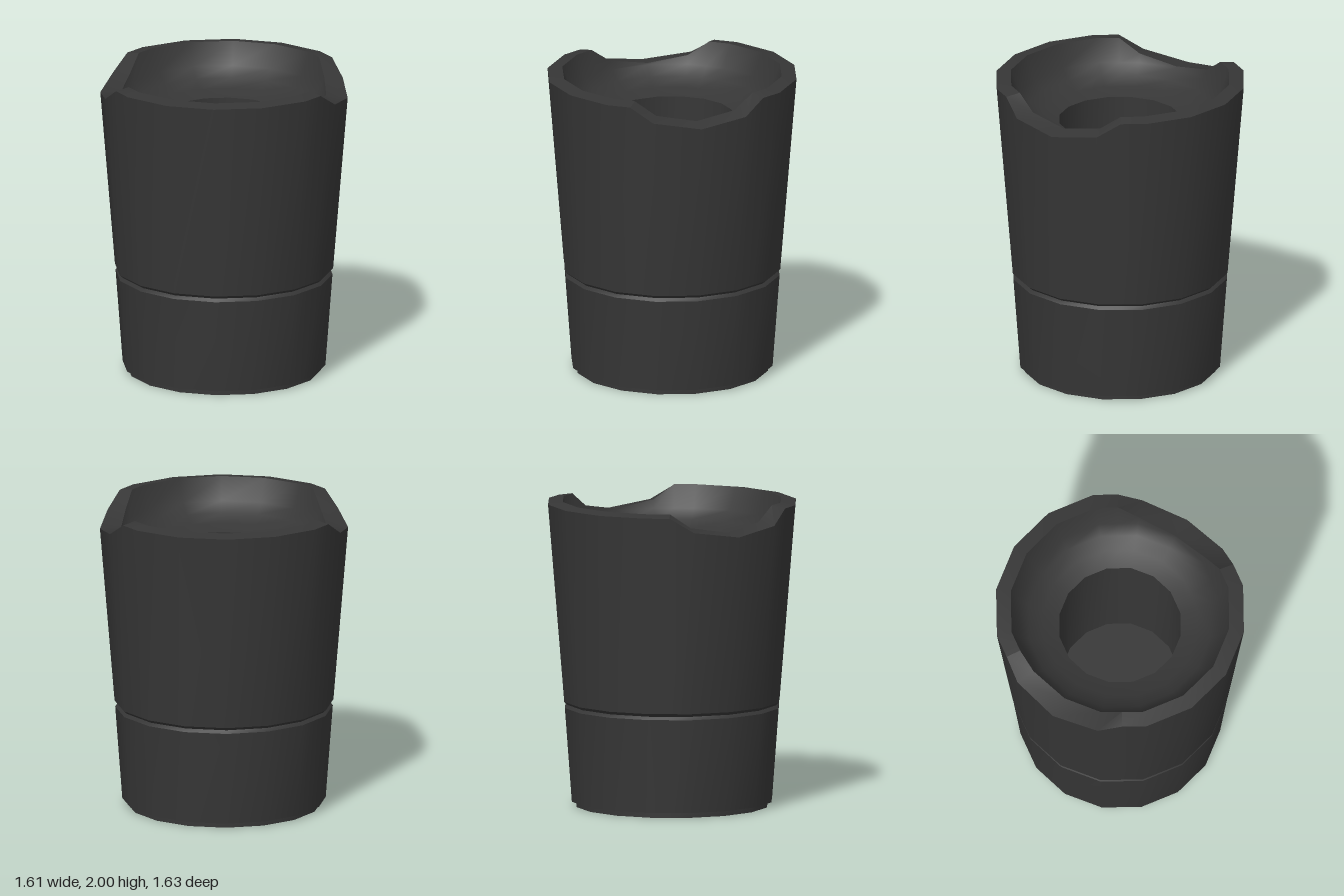
import * as THREE from 'three';
import { toCreasedNormals } from 'three/addons/utils/BufferGeometryUtils.js';

// Columns round the cup: 16 corners, plus the mid-edge points where the notches start
const columns = [];
for (let i = 0; i < 16; i++) {
  columns.push({ deg: i * 22.5, chord: 1 });
  if ([1, 6, 9, 14].includes(i)) columns.push({ deg: i * 22.5 + 11.25, chord: Math.cos(Math.PI / 16) });
}

// How far the rim dips at a column (one notch at each side, +x and -x)
function dip(deg) {
  const fromSide = Math.min(deg % 180, 180 - (deg % 180));
  return fromSide < 1 ? 0.14 : fromSide < 23 ? 0.095 : 0;
}

// Skin between rows; a row is [radius, height] or a function of the dip giving one
function loft(name, rows, material) {
  const pos = [], index = [], n = columns.length;
  rows.forEach((row) => columns.forEach(({ deg, chord }) => {
    const [r, y] = typeof row === 'function' ? row(dip(deg)) : row;
    const a = THREE.MathUtils.degToRad(deg);
    pos.push(r * chord * Math.cos(a), y, r * chord * Math.sin(a));
  }));
  for (let j = 0; j < rows.length - 1; j++) {
    for (let i = 0; i < n; i++) {
      const a = j * n + i, b = j * n + (i + 1) % n;
      index.push(a, a + n, b, b, a + n, b + n);
    }
  }
  const geo = new THREE.BufferGeometry();
  geo.setAttribute('position', new THREE.Float32BufferAttribute(pos, 3));
  geo.setIndex(index);
  const mesh = new THREE.Mesh(toCreasedNormals(geo, 0.55), material);
  mesh.name = name;
  return mesh;
}

// Flat 16-sided disc facing up or down
function disc(name, r, y, up, material) {
  const mesh = new THREE.Mesh(new THREE.CircleGeometry(r, 16), material);
  mesh.rotation.x = up ? -Math.PI / 2 : Math.PI / 2;
  mesh.position.y = y;
  mesh.name = name;
  return mesh;
}

export function createModel() {
  const group = new THREE.Group();
  group.name = 'notchedCup';
  const dark = new THREE.MeshStandardMaterial({ color: 0x363636 });

  const rimOuter = (d) => [0.817 - 0.085 * d, 1.985 - d];
  const rimInner = (d) => [0.72 - 0.39 * d, 2 - d];

  group.add(
    // Foot and lower cup
    disc('footUnderside', 0.63, 0, false, dark),
    loft('foot', [[0.63, 0], [0.63, 0.035], [0.66, 0.035]], dark),
    loft('lowerBody', [[0.66, 0.035], [0.706, 0.65]], dark),
    // Groove between the two halves
    loft('groove', [[0.706, 0.65], [0.688, 0.67], [0.71, 0.69]], dark),
    // Upper cup, cut down at the notches
    loft('upperBody', [[0.71, 0.69], rimOuter], dark),
    loft('rim', [rimOuter, rimInner], dark),
    // Funnel and the well below it
    loft('bowl', [rimInner, [0.66, 1.85], [0.6, 1.785], [0.51, 1.74], [0.4, 1.71]], dark),
    loft('wellWall', [[0.4, 1.71], [0.385, 0.7]], dark),
    disc('wellFloor', 0.385, 0.7, true, dark),
  );
  return group;
}
